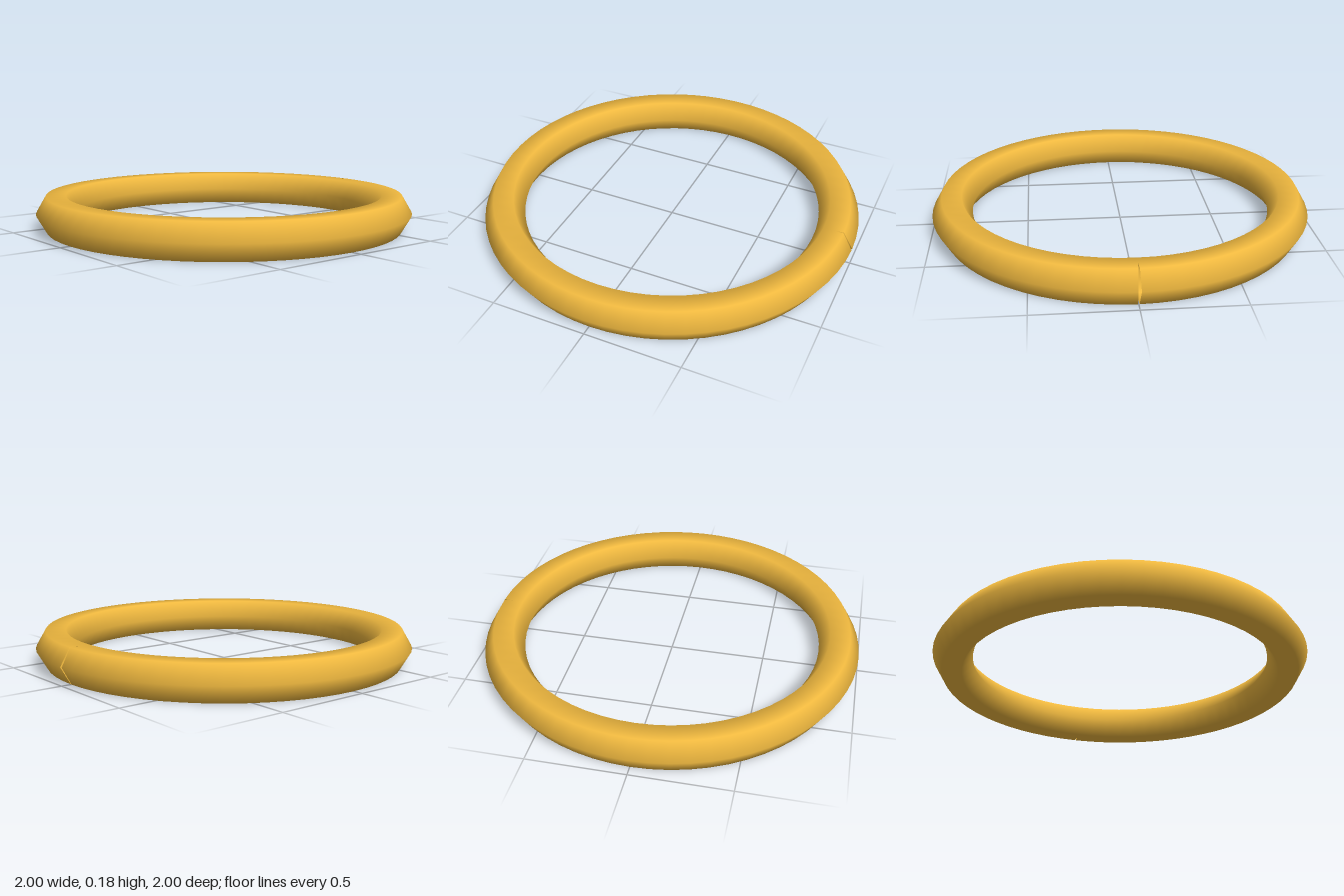
import * as THREE from 'three';

const RING = 0.895;   // centre line radius
const TUBE = 0.105;   // hexagonal section radius
const SIDES = 6;
const STEPS = 64;
const TILT = 0.07;    // slant of the two ends at the split

export function createModel() {
  const model = new THREE.Group();
  model.name = 'splitRing';

  // Hexagonal ring lying flat, smooth shaded
  const geometry = new THREE.TorusGeometry(RING, TUBE, SIDES, STEPS);
  geometry.rotateX(-Math.PI / 2);

  // Slant both end sections so the split opens outward on the +x side
  const pos = geometry.attributes.position;
  for (let j = 0; j <= SIDES; j++) {
    const first = j * (STEPS + 1);
    const last = first + STEPS;
    const gap = (pos.getX(first) - RING) * TILT;
    pos.setZ(first, -gap);
    pos.setZ(last, gap);
  }

  const material = new THREE.MeshStandardMaterial({ color: 0xefb83f, side: THREE.DoubleSide });
  const ring = new THREE.Mesh(geometry, material);
  ring.name = 'ring';
  ring.position.y = TUBE * Math.sin(Math.PI / 3);
  model.add(ring);

  return model;
}
